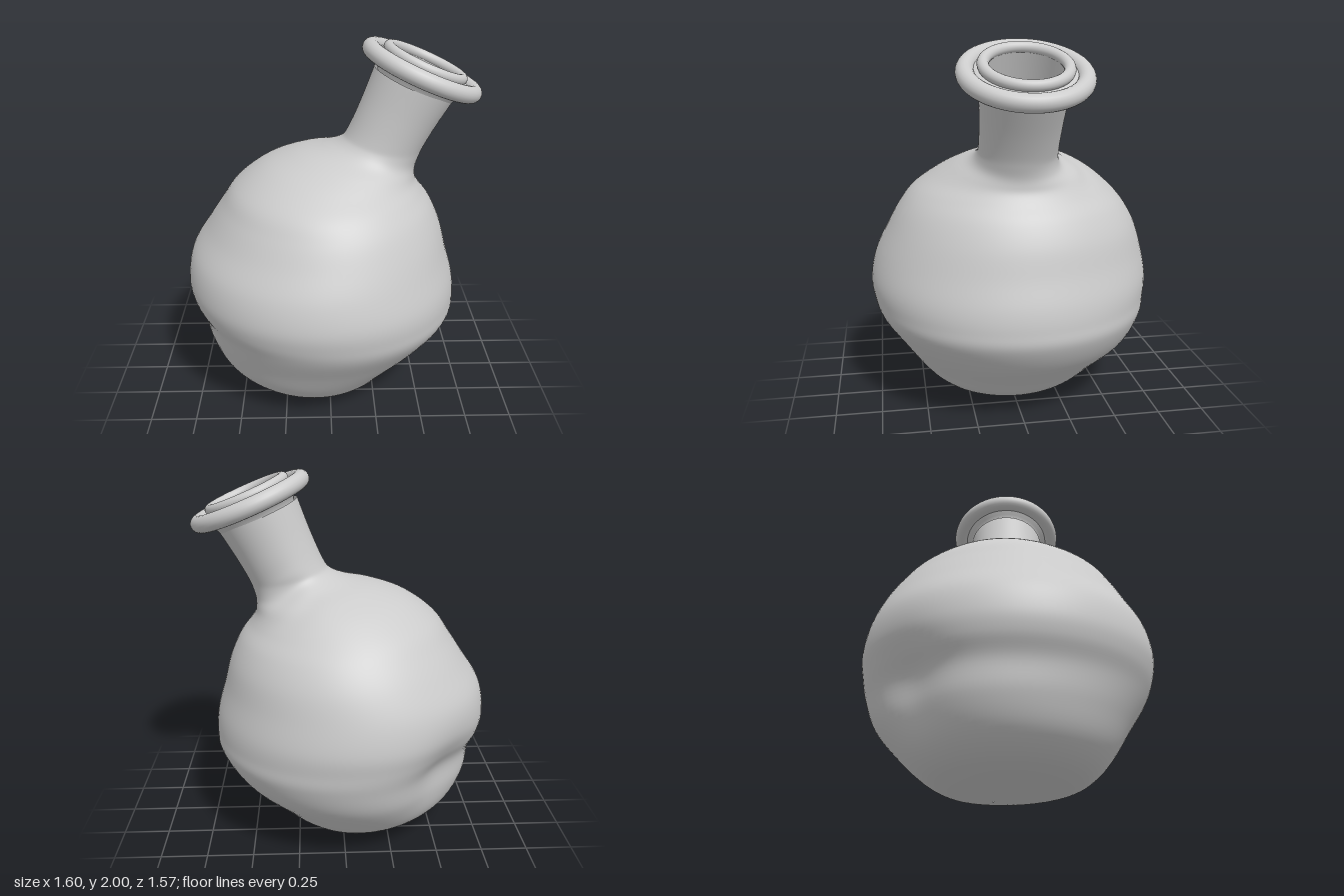
import * as THREE from 'three';

// Body and neck cross-sections: left x, left y, right x, right y, front z, back z
const SECTIONS = [
  [0.02, 0.005, 0.03, 0.005, -0.07, -0.08],
  [-0.13, 0.015, 0.14, 0.01, 0.13, -0.24],
  [-0.35, 0.05, 0.24, 0.035, 0.34, -0.36],
  [-0.52, 0.1, 0.34, 0.1, 0.45, -0.46],
  [-0.64, 0.2, 0.44, 0.2, 0.54, -0.57],
  [-0.71, 0.35, 0.6, 0.35, 0.635, -0.695],
  [-0.735, 0.5, 0.7, 0.5, 0.73, -0.755],
  [-0.785, 0.61, 0.712, 0.6, 0.768, -0.775],
  [-0.8, 0.72, 0.7, 0.71, 0.78, -0.785],
  [-0.77, 0.86, 0.66, 0.85, 0.748, -0.76],
  [-0.68, 1.0, 0.62, 1.0, 0.68, -0.71],
  [-0.6, 1.12, 0.565, 1.12, 0.615, -0.64],
  [-0.52, 1.23, 0.505, 1.2, 0.54, -0.555],
  [-0.37, 1.34, 0.475, 1.25, 0.425, -0.455],
  [-0.2, 1.405, 0.468, 1.29, 0.33, -0.36],
  [-0.04, 1.44, 0.47, 1.33, 0.25, -0.265],
  [0.055, 1.475, 0.485, 1.38, 0.215, -0.215],
  [0.1, 1.53, 0.51, 1.44, 0.208, -0.208],
  [0.17, 1.69, 0.57, 1.55, 0.212, -0.212],
  [0.235, 1.865, 0.655, 1.69, 0.225, -0.225],
];
const SEGMENTS = 96, STEPS = 6;

function sectionAt(t) {
  const last = SECTIONS.length - 1;
  const i = Math.min(Math.floor(t), last - 1), f = t - i;
  const at = (k) => SECTIONS[Math.max(0, Math.min(last, k))];
  return SECTIONS[0].map((_, c) => {
    const [a, b, d, e] = [at(i - 1)[c], at(i)[c], at(i + 1)[c], at(i + 2)[c]];
    return b + 0.5 * f * (d - a + f * (2 * a - 5 * b + 4 * d - e + f * (3 * (b - d) + e - a)));
  });
}

// Smooth fall-off around a point
const falloff = (p, x, y, z, r) =>
  Math.exp(-((p.x - x) ** 2 + (p.y - y) ** 2 + (p.z - z) ** 2) / (r * r));

function bodyGeometry() {
  const rows = (SECTIONS.length - 1) * STEPS;
  const positions = [], indices = [];
  const p = new THREE.Vector3();
  for (let r = 0; r <= rows; r++) {
    const [lx, ly, rx, ry, zf, zb] = sectionAt(r / STEPS);
    for (let s = 0; s < SEGMENTS; s++) {
      const a = (s / SEGMENTS) * Math.PI * 2, c = Math.cos(a);
      p.set((lx + rx) / 2 + c * (rx - lx) / 2,
        (ly + ry) / 2 + c * (ry - ly) / 2,
        (zf + zb) / 2 + Math.sin(a) * (zf - zb) / 2);
      // Dent low on the rear right, small folds behind the foot of the neck
      const dent = 0.08 * falloff(p, -0.52, 0.46, -0.52, 0.24);
      const folds = falloff(p, 0.25, 1.33, -0.25, 0.13) *
        (0.018 + 0.01 * Math.sin(28 * p.x + 40 * p.y));
      const len = Math.hypot(p.x, p.z) || 1;
      p.x -= (dent + folds) * p.x / len;
      p.z -= (dent + folds) * p.z / len;
      positions.push(p.x, p.y, p.z);
      if (r < rows) {
        const n = (s + 1) % SEGMENTS, row = r * SEGMENTS, up = row + SEGMENTS;
        indices.push(row + s, up + s, row + n, row + n, up + s, up + n);
      }
    }
  }
  const g = new THREE.BufferGeometry();
  g.setAttribute('position', new THREE.Float32BufferAttribute(positions, 3));
  g.setIndex(indices);
  g.computeVertexNormals();
  return g;
}

export function createModel() {
  const group = new THREE.Group();
  const material = new THREE.MeshStandardMaterial({ color: 0xcccccc, side: THREE.DoubleSide });
  const add = (parent, name, geometry) => {
    const mesh = new THREE.Mesh(geometry, material);
    mesh.name = name;
    parent.add(mesh);
    return mesh;
  };

  add(group, 'bodyAndNeck', bodyGeometry());

  // Tilted mouth of the bottle
  const mouth = new THREE.Group();
  mouth.name = 'mouth';
  mouth.position.set(0.485, 1.845, 0);
  mouth.rotation.z = -0.4;
  group.add(mouth);

  const ring = (name, radius, tube, y) => {
    const mesh = add(mouth, name, new THREE.TorusGeometry(radius, tube, 20, 80));
    mesh.rotation.x = Math.PI / 2;
    mesh.position.y = y;
  };
  ring('outerRim', 0.293, 0.046, 0);
  ring('innerLip', 0.208, 0.029, 0.042);

  // Flange joining neck, rim and lip
  const flange = [[0.215, -0.09], [0.235, -0.04], [0.29, -0.02], [0.29, 0.015], [0.235, 0.02], [0.21, 0.035]];
  add(mouth, 'flange', new THREE.LatheGeometry(flange.map(([x, y]) => new THREE.Vector2(x, y)), 80));

  // Hollow inside of the neck with a rounded floor
  const hollow = [[0, -0.45], [0.1, -0.44], [0.16, -0.4], [0.182, -0.33], [0.184, -0.15], [0.185, 0.04]];
  const curve = new THREE.SplineCurve(hollow.map(([x, y]) => new THREE.Vector2(x, y)));
  const points = curve.getPoints(30);
  points.forEach((q) => { q.x = Math.max(0, q.x); });
  add(mouth, 'neckInterior', new THREE.LatheGeometry(points, 80));

  return group;
}
